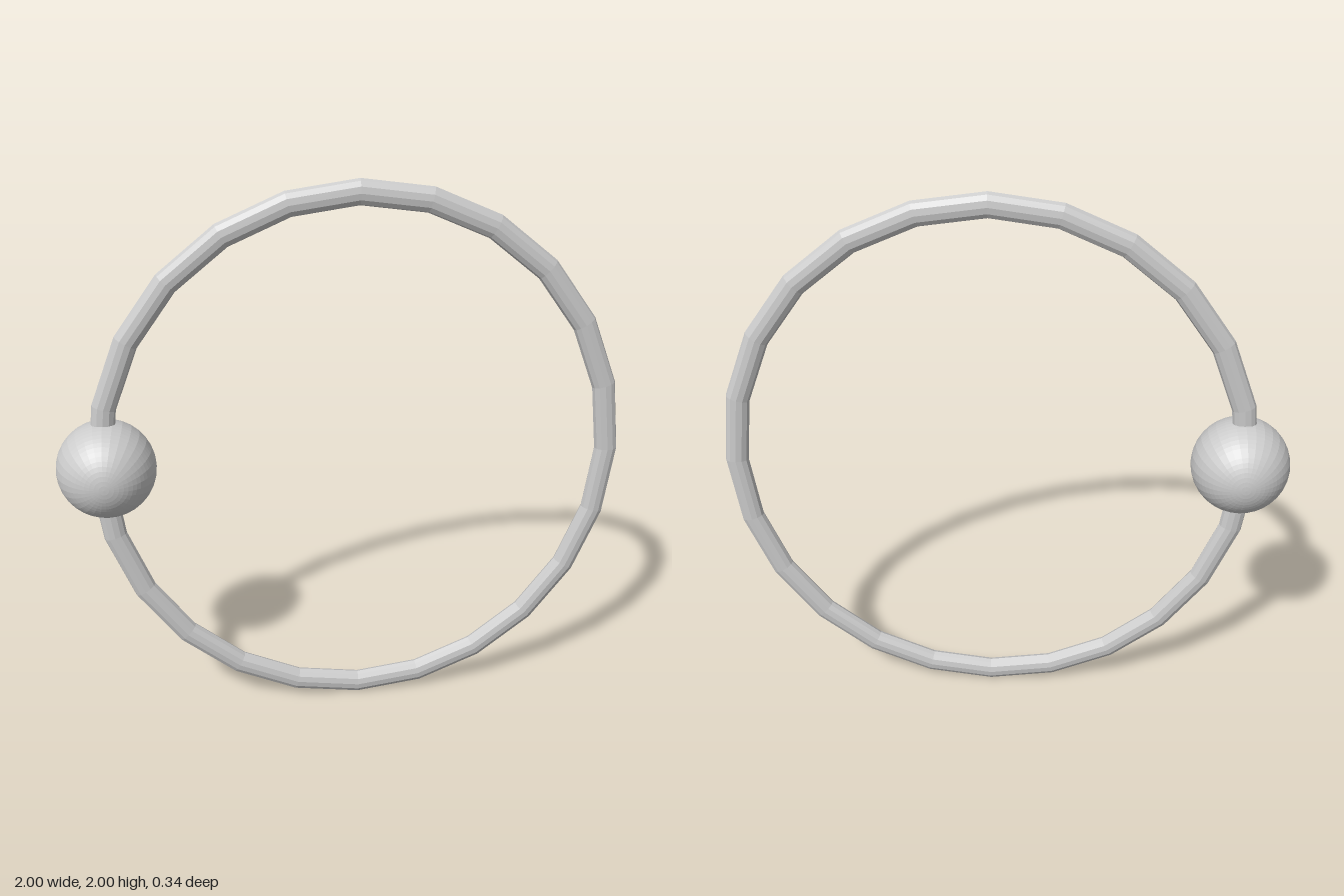
import * as THREE from 'three';

export function createModel() {
  const model = new THREE.Group();
  const material = new THREE.MeshStandardMaterial({ color: 0xcccccc, flatShading: true });

  const addPart = (name, geometry, x, y) => {
    const mesh = new THREE.Mesh(geometry, material);
    mesh.name = name;
    mesh.position.set(x, y, 0);
    model.add(mesh);
  };

  // Slightly oval hoop with a flattened tube, 24 segments around
  const hoop = new THREE.TorusGeometry(0.956, 0.044, 12, 24);
  hoop.scale(0.943, 1, 0.64);
  addPart('hoop', hoop, 0.052, 1);

  // Bead threaded on the hoop, its poles facing front and back
  const bead = new THREE.SphereGeometry(0.172, 32, 32);
  bead.rotateX(Math.PI / 2);
  addPart('bead', bead, -0.828, 1.02);

  return model;
}
